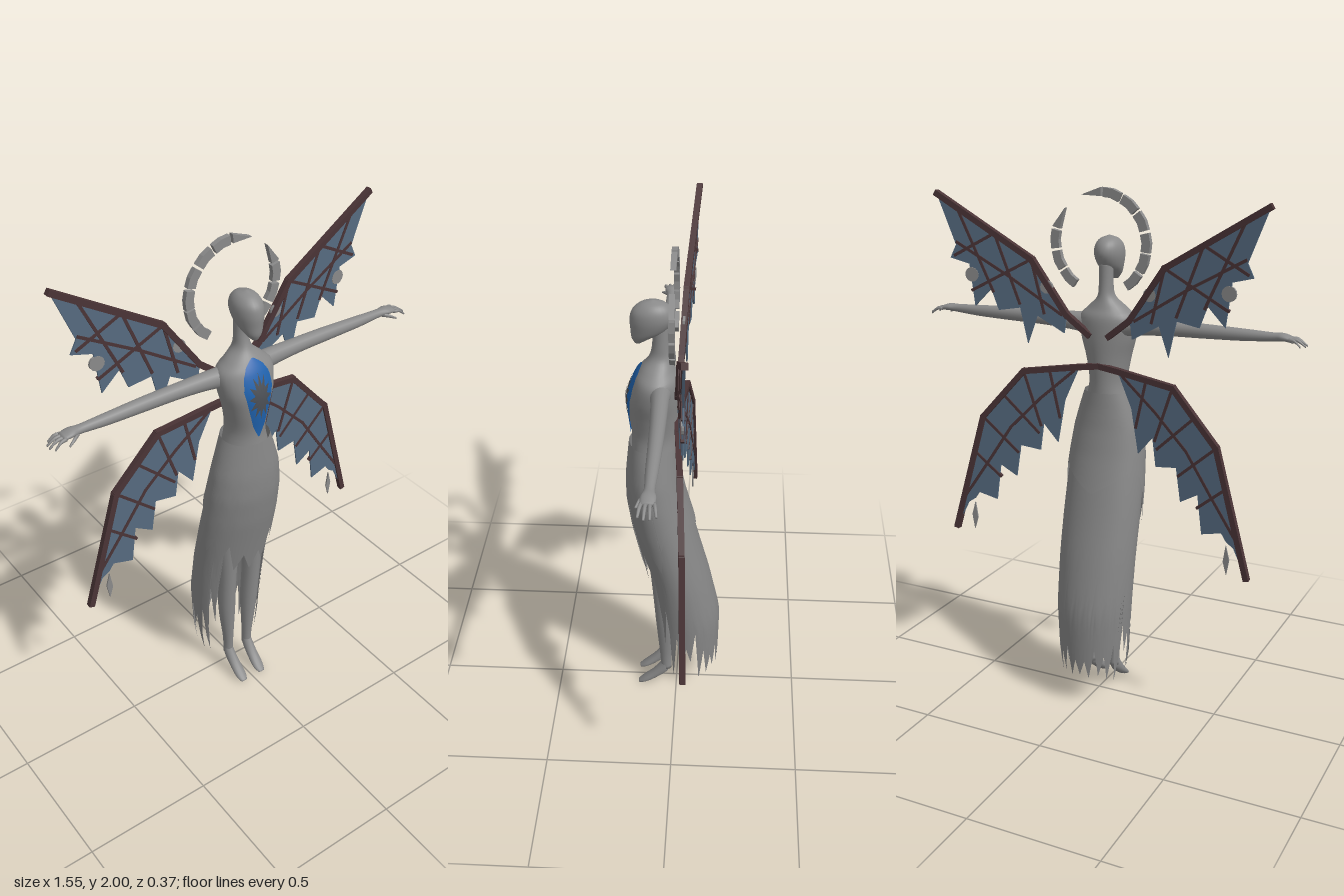
import * as THREE from 'three';

const mat = (name, color, side = THREE.FrontSide) => {
  const m = new THREE.MeshStandardMaterial({ color, side });
  m.name = name;
  return m;
};
const V3 = (x, y, z) => new THREE.Vector3(x, y, z);
const X = V3(1, 0, 0), Y = V3(0, 1, 0), Z = V3(0, 0, 1);

// Rows are [cx, cy, cz, ru, rv]; splined into a finer list
function smooth(rows, n = 5) {
  const c = new THREE.CatmullRomCurve3(rows.map(r => V3(r[0], r[1], r[2])), false, 'catmullrom');
  const s = new THREE.CatmullRomCurve3(rows.map(r => V3(r[3], r[4], 0)), false, 'catmullrom');
  const N = (rows.length - 1) * n;
  return Array.from({ length: N + 1 }, (_, i) => {
    const p = c.getPoint(i / N), q = s.getPoint(i / N);
    return [p.x, p.y, p.z, Math.max(q.x, 0.001), Math.max(q.y, 0.001)];
  });
}

// Closed skin over elliptical rings; U x V points along the path
function loft(rings, U, V, seg = 20) {
  const pos = [], idx = [];
  for (const [x, y, z, ru, rv] of rings) for (let k = 0; k < seg; k++) {
    const t = k / seg * Math.PI * 2;
    pos.push(...V3(x, y, z).addScaledVector(U, ru * Math.cos(t)).addScaledVector(V, rv * Math.sin(t)).toArray());
  }
  const last = rings.length - 1, a = pos.length / 3;
  pos.push(...rings[0].slice(0, 3), ...rings[last].slice(0, 3));
  for (let k = 0; k < seg; k++) {
    const k1 = (k + 1) % seg;
    for (let i = 0; i < last; i++) {
      const p = i * seg + k, q = i * seg + k1;
      idx.push(p, q, q + seg, p, q + seg, p + seg);
    }
    idx.push(a, k1, k, a + 1, last * seg + k, last * seg + k1);
  }
  return finish(pos, idx);
}

// Open sheet from a function of u, v in 0..1
function sheet(nu, nv, f) {
  const pos = [], idx = [];
  for (let j = 0; j <= nv; j++) for (let i = 0; i <= nu; i++) pos.push(...f(i / nu, j / nv));
  for (let j = 0; j < nv; j++) for (let i = 0; i < nu; i++) {
    const p = j * (nu + 1) + i, q = p + nu + 1;
    idx.push(p, q, p + 1, p + 1, q, q + 1);
  }
  return finish(pos, idx);
}

function finish(pos, idx) {
  const g = new THREE.BufferGeometry();
  g.setAttribute('position', new THREE.Float32BufferAttribute(pos, 3));
  g.setIndex(idx);
  g.computeVertexNormals();
  return g;
}

// Linear lookup in a table whose first column rises
function lookup(rows, v) {
  let i = 0;
  while (i < rows.length - 2 && rows[i + 1][0] < v) i++;
  const a = rows[i], b = rows[i + 1];
  const t = THREE.MathUtils.clamp((v - a[0]) / (b[0] - a[0]), 0, 1);
  return a.map((x, k) => x + (b[k] - x) * t);
}

// Rows [height, half width, front z, back z] to rings
const upright = rows => smooth(rows.map(([y, w, f, b]) => [0, y, (f + b) / 2, (f - b) / 2, w]));

export function createModel() {
  const root = new THREE.Group();
  const stone = mat('grey stone', 0x8a8a8a);
  const cloth = mat('grey cloth', 0x868686, THREE.DoubleSide);
  const membrane = mat('slate blue membrane', 0x566b80);
  const bone = mat('dark brown frame', 0x4a3436);
  const blue = mat('blue enamel', 0x1f62ad, THREE.DoubleSide);
  const dark = mat('dark grey inlay', 0x4c5056, THREE.DoubleSide);
  const add = (parent, name, geo, m) => {
    const mesh = new THREE.Mesh(geo, m);
    mesh.name = name;
    parent.add(mesh);
    return mesh;
  };

  // Torso with neck, and head
  const body = upright([[1.2, .088, .17, .0], [1.28, .072, .167, .0], [1.37, .086, .176, -.005], [1.45, .108, .176, -.008],
    [1.52, .112, .155, -.005], [1.56, .075, .132, .012], [1.6, .034, .102, .024], [1.65, .027, .088, .03], [1.73, .027, .088, .032]]);
  add(root, 'torso', loft(body, Z, X, 28), stone);
  add(root, 'head', loft(upright([[1.658, .012, .15, .125], [1.68, .03, .16, .09], [1.71, .044, .163, .04], [1.75, .053, .165, .014],
    [1.785, .05, .156, .017], [1.81, .033, .128, .04], [1.822, .004, .092, .08]]), Z, X, 24), stone);

  // Chest ornament laid on the torso
  const bodyTable = body.map(r => [r[1], r[4], r[2], r[3]]);
  const onChest = (x, y, lift) => {
    const [, w, zc, d] = lookup(bodyTable, y);
    return [x, y, zc + d * Math.sqrt(Math.max(0, 1 - (x / w) ** 2)) + lift];
  };
  const drop = [[1.27, .004], [1.32, .026], [1.4, .046], [1.47, .061], [1.52, .054], [1.555, .034], [1.575, .004]];
  add(root, 'chestDrop', sheet(12, 24, (u, v) => {
    const y = 1.27 + .305 * v;
    return onChest((u * 2 - 1) * lookup(drop, y)[1], y, .004);
  }), blue);
  const star = (points, rOut, rIn, stretch, lift) => sheet(points * 2, 5, (u, v) => {
    const k = Math.round(u * points * 2), r = (k % 2 ? rIn : rOut) * v, t = u * Math.PI * 2;
    return onChest(r * Math.sin(t), 1.44 + r * Math.cos(t) * stretch, lift);
  });
  add(root, 'chestInlay', star(12, .048, .026, 1.9, .007), dark);
  add(root, 'chestStar', star(8, .044, .022, 1, .011), stone);

  // Skirt layers hang on one surface and end in torn hems
  const skirt = [[.08, .125, .09, -.175], [.2, .145, .095, -.18], [.4, .155, .1, -.183], [.6, .16, .115, -.14], [.75, .162, .145, -.1],
    [.87, .16, .17, -.07], [1, .152, .188, -.035], [1.1, .137, .188, -.015], [1.18, .113, .18, -.006], [1.245, .09, .173, -.003]];
  const panel = (name, a0, a1, top, hem, grow) => add(root, name, sheet((hem.length - 1) * 3, 16, (u, v) => {
    const k = u * (hem.length - 1), i = Math.min(Math.floor(k), hem.length - 2);
    const y = top + (hem[i] + (hem[i + 1] - hem[i]) * (k - i) - top) * v;
    const [, w, f, b] = lookup(skirt, y), a = a0 + (a1 - a0) * u;
    return [(w + grow) * Math.sin(a), y, (f + b) / 2 + ((f - b) / 2 + grow) * Math.cos(a)];
  }), cloth);
  const mirrorHem = h => [...h, ...h.slice(0, -1).reverse()];
  panel('underSkirt', .75, Math.PI * 2 - .75, 1.22,
    mirrorHem([.62, .3, .5, .12, .36, .1, .3, .22, .38, .1, .27, .12, .22, .14, .25, .13, .2, .14]), -.006);
  panel('frontOverSkirt', -1.5, 1.5, 1.24, mirrorHem([.82, .72, .8, .66, .76, .61, .69, .6]), .002);
  panel('backOverSkirt', 1.45, Math.PI * 2 - 1.45, 1.24, mirrorHem([.82, .92, .95, .92, .89, .86]), .002);
  panel('frontCentrePanel', -.5, .5, 1.245, mirrorHem([.8, .74, .67, .6]), .006);

  // One side of limbs and wings, built twice
  const beam = (parent, name, [x0, y0], [x1, y1], wide, deep) => {
    const g = new THREE.BoxGeometry(Math.hypot(x1 - x0, y1 - y0) + wide * .6, wide, deep);
    g.rotateZ(Math.atan2(y1 - y0, x1 - x0)).translate((x0 + x1) / 2, (y0 + y1) / 2, 0);
    add(parent, name, sweepBack(g), bone);
  };
  // Wings lean backward as they spread
  const sweepBack = g => {
    const p = g.attributes.position;
    for (let i = 0; i < p.count; i++) p.setZ(i, p.getZ(i) - .008 - .08 * (p.getX(i) - .1));
    g.computeVertexNormals();
    return g;
  };
  const plate = (pts, depth) => sweepBack(new THREE.ExtrudeGeometry(
    new THREE.Shape(pts.map(p => new THREE.Vector2(...p))), { depth, bevelEnabled: false }).translate(0, 0, -depth / 2));
  const wing = (parent, name, lead, trail, ribs) => {
    const g = new THREE.Group();
    g.name = name;
    add(g, 'membrane', plate([...lead.slice(1), ...trail], .006), membrane);
    for (let i = 0; i < lead.length - 1; i++) beam(g, 'leadingEdge', lead[i], lead[i + 1], .022, .022);
    for (const line of ribs) for (let i = 0; i < line.length - 1; i++) beam(g, 'rib', line[i], line[i + 1], .011, .013);
    parent.add(g);
    return g;
  };

  for (const s of [1, -1]) {
    const side = new THREE.Group();
    side.name = s > 0 ? 'leftSide' : 'rightSide';
    side.scale.x = s;
    root.add(side);

    // Arm, fingers and thumb
    add(side, 'arm', loft(smooth([[.06, 1.49, .06, .045, .045], [.12, 1.498, .055, .037, .034], [.25, 1.502, .052, .03, .029],
      [.4, 1.503, .052, .027, .026], [.55, 1.503, .054, .022, .022], [.65, 1.505, .055, .016, .018], [.69, 1.507, .056, .014, .026],
      [.725, 1.502, .056, .009, .024]]), Y, Z, 16), stone);
    for (let i = 0; i < 4; i++) {
      const z = .036 + i * .0135, spread = (i - 1.5) * .006, len = [.045, .058, .06, .048][i];
      add(side, 'finger', loft(smooth([[.715, 1.502, z, .007, .007], [.715 + len * .5, 1.5, z + spread * .5, .006, .006],
        [.715 + len, 1.482, z + spread, .004, .004]], 3), Y, Z, 8), stone);
    }
    add(side, 'thumb', loft(smooth([[.665, 1.5, .065, .009, .009], [.69, 1.493, .082, .007, .007],
      [.715, 1.482, .094, .004, .004]], 3), Y, Z, 8), stone);

    // Leg and pointed foot
    add(side, 'leg', loft(smooth([[.048, .1, .042, .022, .019], [.049, .18, .044, .024, .021], [.056, .36, .045, .037, .034],
      [.06, .55, .055, .04, .037], [.062, .8, .065, .05, .05], [.05, 1.1, .08, .055, .05]]), Z, X, 16), stone);
    add(side, 'foot', loft(smooth([[.046, .008, .158, .006, .014], [.046, .024, .132, .013, .023], [.047, .06, .088, .02, .023],
      [.048, .1, .052, .025, .021], [.048, .135, .042, .016, .018]]), V3(0, .65, .75), X, 14), stone);

    // Upper wing
    const upper = wing(side, 'upperWing', [[.04, 1.46], [.13, 1.53], [.27, 1.73], [.66, 1.96]],
      [[.585, 1.77], [.61, 1.72], [.53, 1.7], [.51, 1.54], [.44, 1.61], [.41, 1.53], [.32, 1.545], [.29, 1.41], [.25, 1.52], [.14, 1.46]],
      [[[.57, 1.9], [.43, 1.6]], [[.42, 1.82], [.32, 1.56]], [[.27, 1.73], [.22, 1.53]], [[.27, 1.73], [.52, 1.6]],
        [[.15, 1.53], [.36, 1.66], [.58, 1.78]], [[.42, 1.82], [.59, 1.73]]]);
    for (const [x, y, r] of [[.52, 1.66, .028], [.21, 1.63, .025]]) {
      const disc = Array.from({ length: 14 }, (_, k) => [x + r * Math.cos(k / 7 * Math.PI), y + r * Math.sin(k / 7 * Math.PI)]);
      add(upper, 'patch', plate(disc, .009), stone);
    }

    // Lower wing with a loose shard near the tip
    const lower = wing(side, 'lowerWing', [[0, 1.345], [.08, 1.335], [.31, 1.3], [.49, 1.1], [.625, .62]],
      [[.57, .73], [.54, .75], [.52, .78], [.44, .76], [.42, .91], [.35, .87], [.33, 1], [.245, .99], [.23, 1.1], [.17, 1.03], [.14, 1.2]],
      [[[.1, 1.32], [.24, 1.2], [.37, 1.07], [.47, .92], [.58, .76]], [[.2, 1.31], [.16, 1.13]], [[.31, 1.3], [.24, 1.09]],
        [[.4, 1.2], [.25, 1.06]], [[.49, 1.1], [.34, .97]], [[.53, .95], [.42, .86]]]);
    add(lower, 'shard', plate([[.54, .735], [.555, .68], [.545, .62], [.53, .67]], .006), stone);
  }

  // Broken halo: blocks on a circle, the two ends by the gap tapering
  const block = (deg, taper) => {
    const at = (r, d) => new THREE.Vector2(Math.cos(d * Math.PI / 180) * r, 1.8 + Math.sin(d * Math.PI / 180) * r);
    const a = deg - 10.5, b = deg + 10.5;
    const pts = taper > 0 ? [at(.168, a), at(.2, a), at(.186, b + 4)] : taper < 0 ? [at(.186, a - 4), at(.2, b), at(.168, b)]
      : [at(.166, a), at(.2, a), at(.202, deg), at(.2, b), at(.166, b), at(.168, deg)];
    return new THREE.ExtrudeGeometry(new THREE.Shape(pts), { depth: .02, bevelEnabled: false });
  };
  const halo = new THREE.Group();
  halo.name = 'halo';
  for (const [deg, taper] of [[224, 0], [200, 0], [177, 0], [153, 0], [129, 0], [105, 0], [81, -1], [26, 1], [2, 0], [-22, 0], [-46, 0]])
    add(halo, 'haloBlock', block(deg, taper), stone);
  root.add(halo);
  return root;
}
